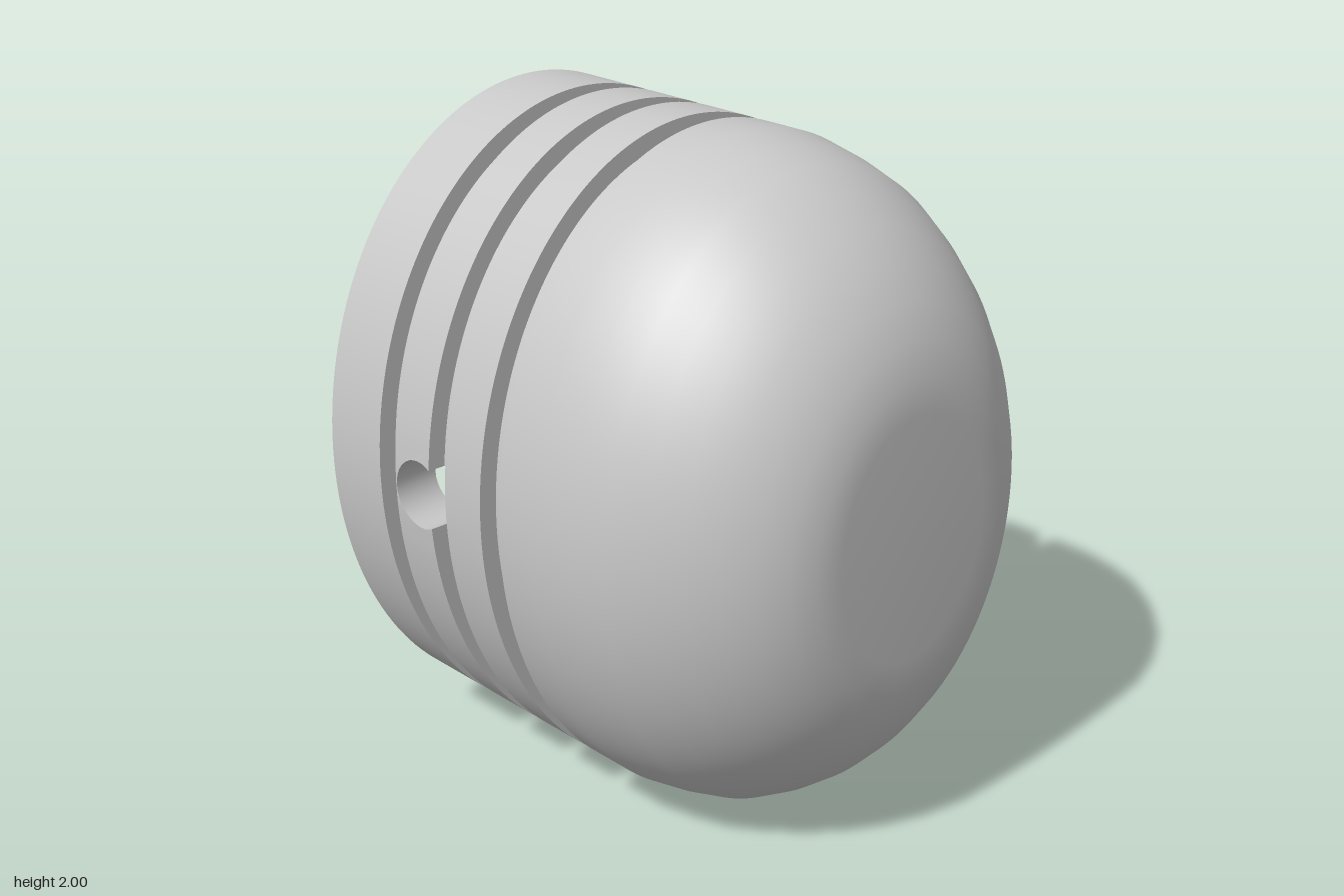
import * as THREE from 'three';
import { mergeGeometries, mergeVertices } from 'three/addons/utils/BufferGeometryUtils.js';

const A = 1, B = 0.786;             // outer half height and half depth
const FLOOR = 0.055, WALL = 0.11;   // groove depth, wall thickness at the rim
const CX = -0.37, R = 0.102, EDGE = -0.32; // pin hole and the groove edge it crosses
const PATCH = 0.15;                 // half height of the strip holding the hole
const SPLIT = Math.acos((EDGE - CX) / R);
const RIM = -0.785, HOLLOW = 1.14;  // open end and the depth of the hollow

// Elliptical section at x, inset evenly from the outer wall and scaled by k
const sec = (x, inset = 0, k = 1) => ({ x, a: (A - inset) * k, b: (B - inset) * k });
// Section of the half-ellipsoid hollow at x
const hollowSec = (x) => sec(x, WALL, Math.sqrt(1 - ((x - RIM) / HOLLOW) ** 2));

// Depth of a section's wall at height y
const depth = ({ a, b }, y) => b * Math.sqrt(1 - (y / a) ** 2);

function grid(rows, cols, point, flip = false) {
  const pos = [], idx = [];
  for (let i = 0; i <= rows; i++) for (let j = 0; j <= cols; j++) pos.push(...point(i, j / cols));
  for (let i = 0; i < rows; i++) for (let j = 0; j < cols; j++) {
    const p = i * (cols + 1) + j, q = p + cols + 1;
    if (flip) idx.push(p, q + 1, q, p, p + 1, q + 1);
    else idx.push(p, q, q + 1, p, q + 1, p + 1);
  }
  const g = new THREE.BufferGeometry();
  g.setAttribute('position', new THREE.Float32BufferAttribute(pos, 3));
  g.setIndex(idx);
  return g;
}

// Skin between sections; cut leaves a gap of half height cut at front and back
function loft(sections, cut = 0) {
  return [0, Math.PI].map((turn) => grid(sections.length - 1, 96, (i, v) => {
    const { x, a, b } = sections[i];
    const gap = cut ? Math.asin(cut / a) : 0;
    const t = turn + gap + (Math.PI - 2 * gap) * v;
    return [x, a * Math.sin(t), b * Math.cos(t)];
  }));
}

function arc(from, to, n = 24) {
  return Array.from({ length: n + 1 }, (_, i) => {
    const t = from + (to - from) * i / n;
    return new THREE.Vector2(CX + R * Math.cos(t), R * Math.sin(t));
  });
}

function side(x, from, to) {
  return Array.from({ length: 7 }, (_, i) => new THREE.Vector2(x, from + (to - from) * i / 6));
}

// Bend a flat outline in x and y on to a wall, front and back
function patches(outline, hole, sectionAt, inward = false) {
  return [1, -1].map((s) => {
    const shape = new THREE.Shape(outline);
    if (hole) shape.holes.push(new THREE.Path(hole));
    const g = new THREE.ShapeGeometry(shape);
    const p = g.attributes.position, idx = g.index.array;
    for (let i = 0; i < p.count; i++) p.setZ(i, s * depth(sectionAt(p.getX(i)), p.getY(i)));
    if ((s < 0) !== inward) {
      for (let i = 0; i < idx.length; i += 3) [idx[i], idx[i + 1]] = [idx[i + 1], idx[i]];
    }
    g.deleteAttribute('uv');
    g.deleteAttribute('normal');
    return g;
  });
}

// Part of the pin hole's lining, from the hollow out to the given inset
function bore(from, to, inset) {
  return [1, -1].map((s) => grid(24, 1, (i, v) => {
    const t = from + (to - from) * i / 24;
    const x = CX + R * Math.cos(t), y = R * Math.sin(t);
    return [x, y, s * depth(v ? sec(x, inset) : hollowSec(x), y)];
  }, s > 0));
}

export function createModel() {
  const model = new THREE.Group();
  const metal = new THREE.MeshStandardMaterial({ color: 0xc8c8c8 });
  metal.name = 'grey metal';

  const add = (name, parts) => {
    const g = mergeVertices(mergeGeometries(parts), 1e-4);
    g.computeVertexNormals();
    const mesh = new THREE.Mesh(g, metal);
    mesh.name = name;
    mesh.position.y = A;
    model.add(mesh);
  };

  // Skirt and lands
  add('skirt', loft([sec(RIM), sec(-0.55)]));
  add('secondLand', loft([sec(-0.245), sec(-0.09)]));

  // Land pierced by the pin hole, which bites into its front edge
  add('pinLand', [
    ...loft([sec(-0.475), sec(EDGE)], PATCH),
    ...patches([...side(-0.475, PATCH, -PATCH), new THREE.Vector2(EDGE, -PATCH),
      ...arc(2 * Math.PI - SPLIT, SPLIT), new THREE.Vector2(EDGE, PATCH)], null, (x) => sec(x)),
  ]);

  // Ring grooves
  [[-0.55, -0.475], [EDGE, -0.245], [-0.09, -0.01]].forEach(([x0, x1], i) => {
    const pierced = i === 1;
    add('grooveRearWall', loft([sec(x0), sec(x0, FLOOR)], pierced ? R * Math.sin(SPLIT) : 0));
    add('grooveFrontWall', loft([sec(x1, FLOOR), sec(x1)]));
    const floor = [sec(x0, FLOOR), sec(x1, FLOOR)];
    add('grooveFloor', pierced
      ? [...loft(floor, PATCH), ...patches([new THREE.Vector2(x0, -PATCH),
        ...side(x1, -PATCH, PATCH), new THREE.Vector2(x0, PATCH),
        ...arc(SPLIT, -SPLIT)], null, (x) => sec(x, FLOOR))]
      : loft(floor));
  });

  // Rounded crown with a flat end
  const dome = [[0.14, 1], [0.26, 0.977], [0.37, 0.945], [0.47, 0.886], [0.56, 0.817],
    [0.635, 0.739], [0.7, 0.65], [0.745, 0.558], [0.776, 0.463], [0.785, 0.36], [0.785, 0]];
  add('crown', loft([sec(-0.01), ...dome.map(([x, k]) => sec(x, 0, k))]));

  // Open rim
  add('rim', loft([sec(RIM, WALL), sec(RIM)]));

  // Domed hollow, with a strip at front and back pierced by the pin hole
  const strip = Array.from({ length: 8 }, (_, i) => -0.2 - 0.05 * i);
  const first = strip[0], last = strip[7], between = strip.slice(1, -1);
  const start = Math.asin((first - RIM) / HOLLOW);
  const end = Array.from({ length: 15 }, (_, i) => {
    const t = Math.PI / 2 + (start - Math.PI / 2) * i / 14;
    return sec(RIM + HOLLOW * Math.sin(t), WALL, Math.cos(t));
  });
  add('hollow', [
    ...loft(end),
    ...loft(strip.map(hollowSec), PATCH),
    ...patches([
      ...side(first, -PATCH, PATCH), ...between.map((x) => new THREE.Vector2(x, PATCH)),
      ...side(last, PATCH, -PATCH), ...between.map((x) => new THREE.Vector2(x, -PATCH)).reverse(),
    ], arc(0, 2 * Math.PI, 48).slice(0, -1), hollowSec, true),
    ...loft([last, -0.63, -0.71, RIM].map(hollowSec)),
  ]);

  // Pin hole lining
  add('pinHoleLining', [...bore(-SPLIT, SPLIT, FLOOR), ...bore(SPLIT, 2 * Math.PI - SPLIT, 0)]);
  return model;
}
